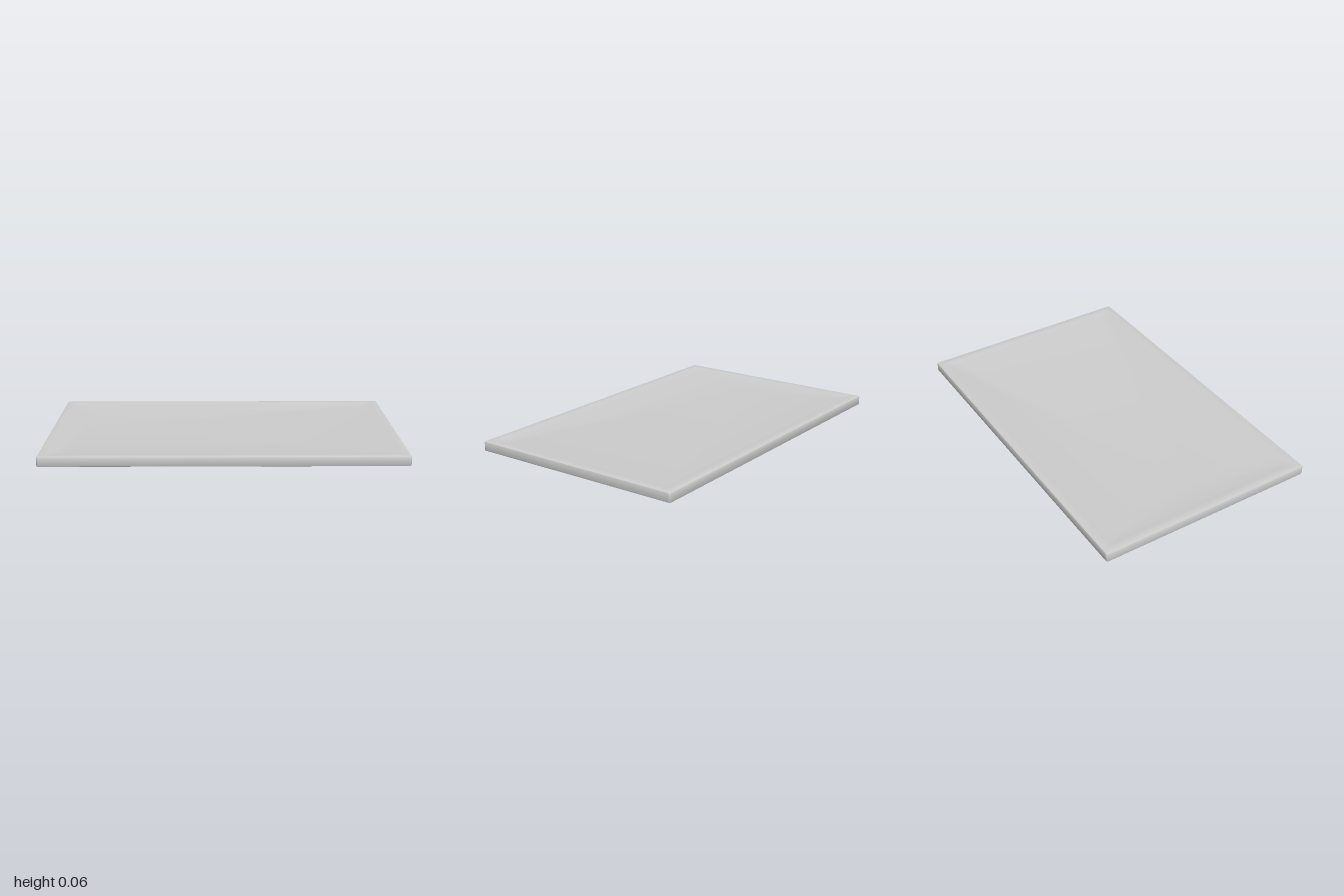
import * as THREE from 'three';
import { toCreasedNormals } from 'three/addons/utils/BufferGeometryUtils.js';

const DRAIN_X = -0.72;
const material = new THREE.MeshStandardMaterial({ color: 0xcccccc, roughness: 0.6 });

// Rounded rectangle loop: half width, half depth, corner radius, height, centre x
function ring([hw, hd, r, y, cx = 0], steps = 6) {
  const points = [];
  for (let c = 0; c < 4; c++) {
    const sx = c === 0 || c === 3 ? 1 : -1;
    const sz = c < 2 ? 1 : -1;
    for (let k = 0; k <= steps; k++) {
      const a = (c + k / steps) * Math.PI / 2;
      points.push([cx + sx * (hw - r) + r * Math.cos(a), y, sz * (hd - r) + r * Math.sin(a)]);
    }
  }
  return points;
}

// Skin through successive loops, closed by a flat cap at each end
function loft(sections) {
  const rings = sections.map((s) => ring(s));
  const n = rings[0].length;
  const first = sections[0], last = sections[sections.length - 1];
  const start = [first[4] ?? 0, first[3], 0], end = [last[4] ?? 0, last[3], 0];
  const pos = [];
  const tri = (a, b, c) => pos.push(...a, ...b, ...c);
  for (let j = 0; j < n; j++) {
    const k = (j + 1) % n;
    tri(start, rings[0][k], rings[0][j]);
    for (let i = 0; i < rings.length - 1; i++) {
      tri(rings[i][j], rings[i][k], rings[i + 1][j]);
      tri(rings[i][k], rings[i + 1][k], rings[i + 1][j]);
    }
    tri(end, rings[rings.length - 1][j], rings[rings.length - 1][k]);
  }
  const geometry = new THREE.BufferGeometry();
  geometry.setAttribute('position', new THREE.Float32BufferAttribute(pos, 3));
  return toCreasedNormals(geometry, 0.6);
}

// Turned ring with a rectangular section
function tubeRing(inner, outer, y0, y1) {
  const profile = [[inner, y0], [outer, y0], [outer, y1], [inner, y1], [inner, y0]];
  const geometry = new THREE.LatheGeometry(profile.map(([x, y]) => new THREE.Vector2(x, y)), 40);
  return toCreasedNormals(geometry, 0.6);
}

function add(parent, name, geometry, x = 0, y = 0, z = 0) {
  const mesh = new THREE.Mesh(geometry, material);
  mesh.name = name;
  mesh.position.set(x, y, z);
  parent.add(mesh);
  return mesh;
}

export function createModel() {
  const model = new THREE.Group();
  model.name = 'showerTray';

  // Tray shell: sloping floor, rim, outer wall, hollow underside
  add(model, 'trayShell', loft([
    [0.08, 0.08, 0.079, 0.053, DRAIN_X],
    [0.92, 0.56, 0.04, 0.059],
    [0.945, 0.585, 0.03, 0.063],
    [0.96, 0.60, 0.02, 0.065],
    [0.992, 0.632, 0.01, 0.065],
    [0.998, 0.638, 0.012, 0.063],
    [1.0, 0.64, 0.012, 0.058],
    [1.0, 0.64, 0.012, 0.017],
    [0.998, 0.638, 0.012, 0.012],
    [0.994, 0.634, 0.012, 0.01],
    [0.978, 0.618, 0.012, 0.01],
    [0.974, 0.614, 0.012, 0.05],
    [0.93, 0.57, 0.03, 0.05],
    [0.9, 0.54, 0.06, 0.04],
    [0.08, 0.08, 0.079, 0.036, DRAIN_X],
  ]));

  // Drain fitting below the floor
  const drain = new THREE.Group();
  drain.name = 'drain';
  drain.position.x = DRAIN_X;
  model.add(drain);
  add(drain, 'drainCollar', tubeRing(0.062, 0.078, 0.012, 0.04));
  add(drain, 'drainHub', tubeRing(0.022, 0.034, 0.012, 0.04));
  for (let i = 0; i < 6; i++) {
    const a = (i + 0.5) * Math.PI / 3;
    const c = Math.cos(a), s = Math.sin(a);
    const spoke = add(drain, 'drainSpoke', new THREE.BoxGeometry(0.034, 0.012, 0.008), 0.048 * c, 0.022, 0.048 * s);
    spoke.rotation.y = -a;
    const clip = add(drain, 'drainClip', new THREE.BoxGeometry(0.01, 0.016, 0.016), 0.058 * c, 0.008, 0.058 * s);
    clip.rotation.y = -a;
  }
  return model;
}
